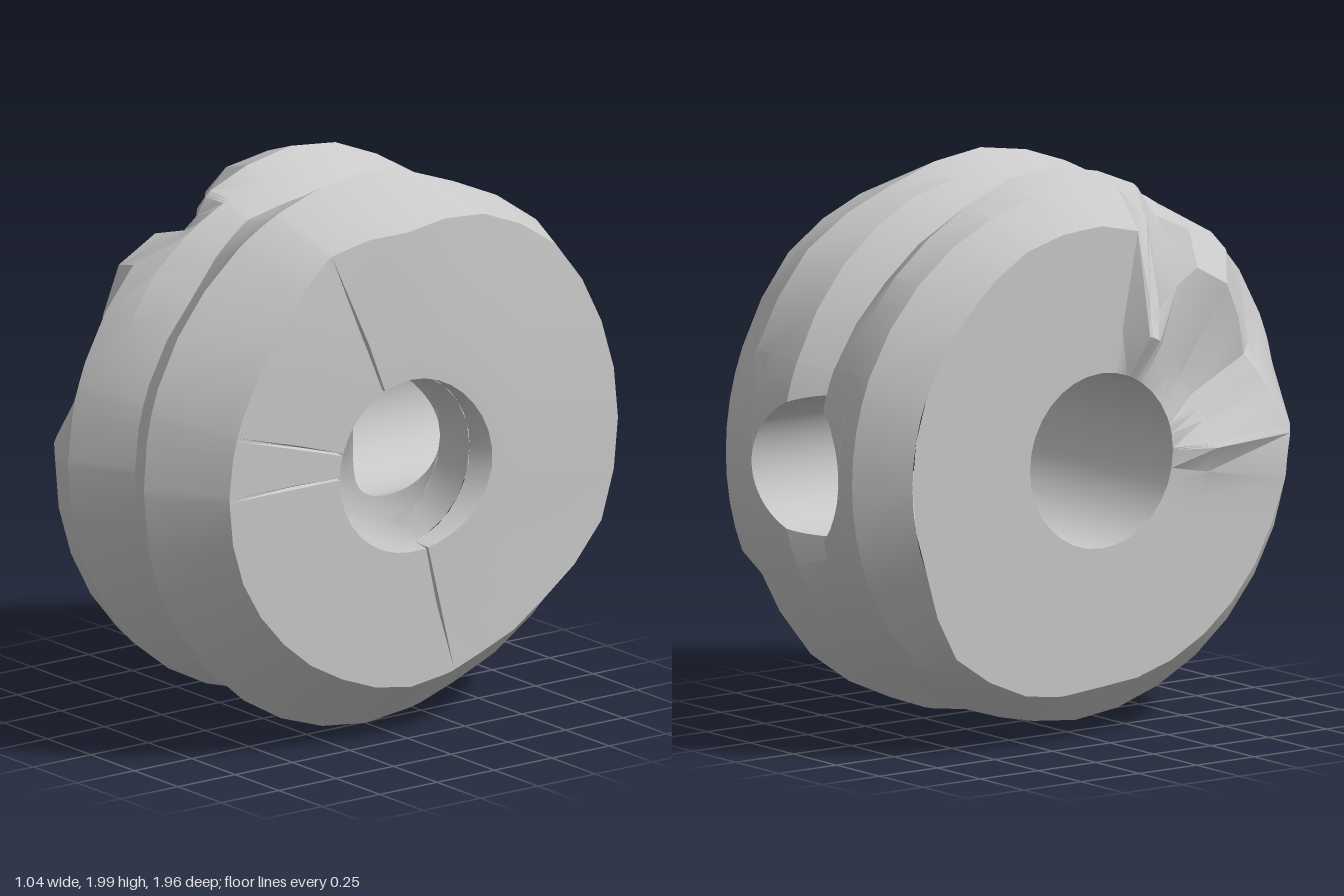
import * as THREE from 'three';
import { toCreasedNormals } from 'three/addons/utils/BufferGeometryUtils.js';

const { lerp, clamp } = THREE.MathUtils;
const RAD = Math.PI / 180;
const BORE = 0.31, TUNNEL = 0.25, MID_X = 0.03;

// values every 22.5 degrees, from the front (+z) over the top (+y) to the back
const LEFT_RIM = [.82, .74, .79, .81, .83, .84, .82, .82, .82, .82, .89, .86, .8, .8, .8, .8];
const LEFT_RIM_X = [.45, .36, .43, .45, .45, .45, .45, .45, .45, .45, .45, .45, .45, .45, .45, .45];
const LEFT_SHOULDER = [.93, .81, .92, .93, .95, .95, .96, .97, .97, .97, .96, .94, .94, .93, .93, .93];
const LEFT_INNER = [.9, .91, .95, .95, .93, .92, .92, .95, .95, .95, .95, .95, .95, .92, .9, .9];
const GROOVE = [.83, .83, .83, .9, .87, .85, .83, .83, .83, .83, .83, .83, .83, .83, .83, .83];
const RIGHT_INNER = [.9, .9, .9, .93, .94, .96, .96, .95, .95, .95, .92, .9, .9, .9, .9, .9];
const RIGHT_PEAK = [.98, .98, .97, .98, 1, .98, 1.01, .98, .98, .98, 1.01, .98, .99, .98, .97, .98];
const RIGHT_PEAK_X = [.28, .26, .24, .24, .25, .27, .3, .34, .34, .34, .28, .27, .26, .27, .28, .28];
const RIGHT_RIM = [.79, .79, .8, .87, .84, .91, .95, .94, .94, .94, .83, .79, .8, .78, .78, .79];
const CRACKS = [1, 17, 68, 257];
const CLEFT_ANGLES = [60, 63.5];

function around(table, deg) {
  const t = (((deg % 360) + 360) % 360) / 22.5, i = Math.floor(t) % 16;
  return lerp(table[i], table[(i + 1) % 16], t - Math.floor(t));
}
function bump(deg, centre, width) {
  const d = ((deg - centre + 540) % 360) - 180;
  return Math.exp(-((d / width) ** 2));
}

// closed cross-section as [x, radius]: 0-7 outside, 7-10 right side, 10-11 bore, 11-13 left side
function section(deg) {
  const cleft = bump(deg, 66, 7);
  const crack = CRACKS.includes(deg) ? 0.03 : 0;
  const rr = around(RIGHT_RIM, deg);
  const leftMid = -0.45 - 0.07 * cleft - 0.07 * bump(deg, 358, 7) + 0.06 * bump(deg, 28, 14);
  const leftRim = [-around(LEFT_RIM_X, deg), around(LEFT_RIM, deg) - 0.27 * cleft];
  return [
    leftRim,
    [-0.3, around(LEFT_SHOULDER, deg) - 0.17 * bump(deg, 63.5, 6)],
    [-0.17, 0.97 + 0.03 * bump(deg, 95, 15) - 0.02 * bump(deg, 270, 40) - 0.08 * bump(deg, 60, 6)],
    [-0.07, around(LEFT_INNER, deg)],
    [MID_X, around(GROOVE, deg)],
    [0.14, around(RIGHT_INNER, deg)],
    [around(RIGHT_PEAK_X, deg), around(RIGHT_PEAK, deg)],
    [0.52 - Math.max(0, rr - 0.8) * 0.35, rr],
    [0.52 - crack * 0.5, 0.5],
    [0.52 - crack, BORE + 0.05 * bump(deg, 195, 45)],
    [0.45, BORE],
    [-0.45, BORE],
    [leftMid, 0.46],
    leftRim,
  ];
}

function place(x, r, deg) {
  return [x, 1 + r * Math.sin(deg * RAD), r * Math.cos(deg * RAD)];
}

// radius of a profile at x
function radiusAt(profile, x) {
  const k = clamp(profile.findIndex((p) => p[0] >= x), 1, profile.length - 1);
  const [a, b] = [profile[k - 1], profile[k]];
  return lerp(a[1], b[1], (x - a[0]) / (b[0] - a[0]));
}

function quad(out, a, b, c, d) {
  out.push(...a, ...b, ...c, ...a, ...c, ...d);
}

// sweep stations from..to around the ring, leaving a gap at the back
function sweep(out, from, to, gap) {
  const angles = [...CLEFT_ANGLES];
  for (let a = 0; a < 360; a += 11.25) {
    if (!CRACKS.some((c) => Math.abs(c - a) < 1.6)) angles.push(a);
  }
  CRACKS.forEach((c) => angles.push(c - 0.8, c, c + 0.8));
  angles.sort((a, b) => a - b);
  angles.forEach((a, i) => {
    const b = i + 1 < angles.length ? angles[i + 1] : angles[0] + 360;
    if (a >= 180 - gap && b <= 180 + gap) return;
    const sa = section(a), sb = section(b);
    for (let k = from; k < to; k++) {
      quad(out, place(...sa[k], a), place(...sa[k + 1], a), place(...sb[k + 1], b), place(...sb[k], b));
    }
  });
}

// close the back gap with strips that stop at the round tunnel mouth
function mouthPatch(out, profile, gap, inward) {
  const steps = 4;
  const xs = profile.map((p) => p[0]);
  for (let i = 0; i <= 48; i++) xs.push(MID_X + TUNNEL * Math.cos((i * Math.PI) / 48));
  xs.sort((a, b) => a - b);
  for (const side of [1, -1]) {
    const columns = xs.map((x) => {
      const r = radiusAt(profile, x);
      const half = Math.sqrt(Math.max(0, TUNNEL ** 2 - (x - MID_X) ** 2));
      const start = Math.asin(half / r) / RAD;
      return Array.from({ length: steps + 1 }, (_, m) => place(x, r, 180 + side * lerp(start, gap, m / steps)));
    });
    for (let i = 0; i + 1 < columns.length; i++) {
      const p = columns[i], q = columns[i + 1];
      for (let m = 0; m < steps; m++) {
        if ((side > 0) !== inward) quad(out, p[m], q[m], q[m + 1], p[m + 1]);
        else quad(out, p[m], p[m + 1], q[m + 1], q[m]);
      }
    }
  }
}

// points of the tunnel's edge where it meets a profile
function mouthEdge(profile) {
  return Array.from({ length: 96 }, (_, j) => {
    const a = (j * Math.PI) / 48;
    const x = MID_X + TUNNEL * Math.cos(a), y = -TUNNEL * Math.sin(a);
    return [x, 1 + y, -Math.sqrt(radiusAt(profile, x) ** 2 - y * y)];
  });
}

export function createModel() {
  const group = new THREE.Group();
  const stone = new THREE.MeshStandardMaterial({ color: 0xc8c8c8 });
  stone.name = 'grey stone';

  function add(name, positions, crease) {
    const g = new THREE.BufferGeometry();
    g.setAttribute('position', new THREE.Float32BufferAttribute(positions, 3));
    const mesh = new THREE.Mesh(toCreasedNormals(g, crease), stone);
    mesh.name = name;
    group.add(mesh);
  }

  const back = section(180);
  const outerProfile = back.slice(0, 8);
  const boreProfile = [back[11], back[10]];

  // grooved outside with the tunnel mouth at the back
  const rim = [];
  sweep(rim, 0, 7, 22.5);
  mouthPatch(rim, outerProfile, 22.5, false);
  add('groovedRim', rim, 0.45);

  // cracked flat sides
  const rightSide = [], leftSide = [];
  sweep(rightSide, 7, 10, 0);
  add('rightSide', rightSide, 0.4);
  sweep(leftSide, 11, 13, 0);
  add('leftSide', leftSide, 0.4);

  // central bore
  const bore = [];
  sweep(bore, 10, 11, 67.5);
  mouthPatch(bore, boreProfile, 67.5, true);
  add('centreBore', bore, 0.6);

  // round tunnel from the back into the bore
  const tunnel = [];
  const outer = mouthEdge(outerProfile), inner = mouthEdge(boreProfile);
  outer.forEach((p, j) => {
    const n = (j + 1) % outer.length;
    quad(tunnel, p, outer[n], inner[n], inner[j]);
  });
  add('backTunnel', tunnel, 0.6);

  return group;
}
